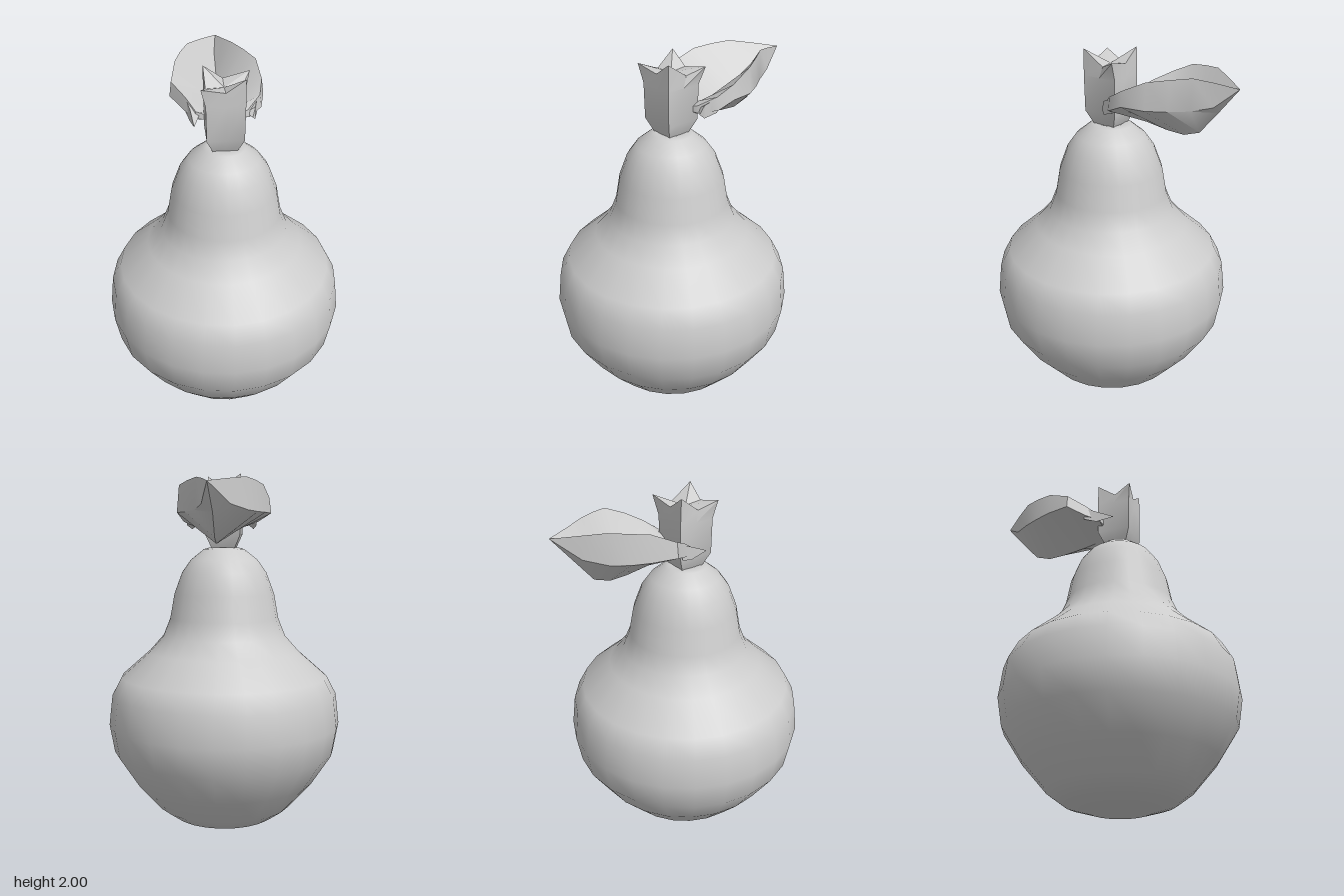
import * as THREE from 'three';
import { toCreasedNormals } from 'three/addons/utils/BufferGeometryUtils.js';

// Closed skin over rings of [x, y, z] points, with a fan at both ends
function loft(rings, startCentre, endCentre, crease) {
  const n = rings[0].length, last = (rings.length - 1) * n;
  const pos = rings.flat(2), index = [];
  pos.push(...startCentre, ...endCentre);
  const s = rings.length * n, e = s + 1;
  for (let j = 0; j < n; j++) {
    const k = (j + 1) % n;
    for (let i = 0; i < last; i += n) {
      index.push(i + j, i + k, i + n + k, i + j, i + n + k, i + n + j);
    }
    index.push(s, k, j, e, last + j, last + k);
  }
  const g = new THREE.BufferGeometry();
  g.setAttribute('position', new THREE.Float32BufferAttribute(pos, 3));
  g.setIndex(index);
  return toCreasedNormals(g, crease);
}

export function createModel() {
  const model = new THREE.Group();
  const grey = new THREE.MeshStandardMaterial({ color: 0xcccccc, side: THREE.DoubleSide });
  grey.name = 'light grey';
  const add = (name, geometry) => {
    const mesh = new THREE.Mesh(geometry, grey);
    mesh.name = name;
    model.add(mesh);
    return mesh;
  };

  // Fruit: round belly, waist and domed neck with a small dimple
  const profile = [
    [0, 0], [0.16, 0.008], [0.3, 0.05], [0.39, 0.115], [0.525, 0.27], [0.635, 0.44],
    [0.663, 0.6], [0.643, 0.77], [0.59, 0.87], [0.43, 1.01], [0.35, 1.1], [0.31, 1.2],
    [0.285, 1.34], [0.24, 1.46], [0.19, 1.53], [0.115, 1.59], [0.08, 1.6], [0, 1.585],
  ].map(([r, y]) => new THREE.Vector2(r, y));
  add('fruitBody', new THREE.LatheGeometry(profile, 24)).position.z = 0.05;

  // Stem: square post narrowing at the foot, with four pointed corners on top
  const square = (h, y) => [[1, 0], [1, -1], [0, -1], [-1, -1], [-1, 0], [-1, 1], [0, 1], [1, 1]]
    .map(([x, z]) => [x * h, y, 0.05 + z * h]);
  const crown = [
    [0.095, 1.92, 0.03], [0.14, 1.96, -0.06], [0, 1.93, -0.045], [-0.1, 2, -0.045],
    [-0.095, 1.92, 0.06], [-0.125, 1.96, 0.165], [0, 1.93, 0.145], [0.1, 2, 0.15],
  ];
  add('stem', loft([square(0.06, 1.585), square(0.097, 1.67), square(0.1, 1.86), crown],
    [0, 1.585, 0.05], [0, 1.92, 0.05], 0.4));

  // Leaf: boat-shaped sections from the stem to the tip
  // [z, keel y, left x, right x, side y, rim y, trough y, rim inset]
  const sections = [
    [-0.02, 1.7, -0.15, 0.14, 1.72, 1.76, 1.73, 0.01],
    [-0.09, 1.665, -0.2, 0.21, 1.74, 1.81, 1.71, 0.01],
    [-0.18, 1.645, -0.27, 0.23, 1.78, 1.86, 1.71, 0.01],
    [-0.31, 1.625, -0.245, 0.215, 1.78, 1.92, 1.72, 0.012],
    [-0.41, 1.62, -0.21, 0.16, 1.78, 1.935, 1.74, 0.012],
    [-0.5, 1.65, -0.165, 0.1, 1.785, 1.945, 1.79, 0.01],
    [-0.6, 1.77, -0.085, 0.055, 1.81, 1.93, 1.85, 0.005],
  ];
  const rings = sections.map(([z, keel, l, r, side, rim, trough, inset]) => [
    [0, keel, z], [l, side, z], [l + inset, rim, z],
    [0, trough, z], [r - inset, rim, z], [r, side, z],
  ]);
  add('leaf', loft(rings, [0, 1.715, 0], [0.015, 1.91, -0.715], 0.7));

  // Small pointed lobes where the leaf clasps the stem
  const lobe = (name, side, reach) => {
    const w = (x, y, z) => [side * x, y, z];
    const ring = [w(0.19, 1.72, -0.1), w(0.19, 1.8, -0.1), w(0.12, 1.76, -0.08)];
    const mid = [w(0.17, 1.7, -0.03), w(0.17, 1.77, -0.03), w(0.12, 1.74, -0.03)];
    const order = side > 0 ? [0, 1, 2] : [0, 2, 1];
    const pick = (p) => order.map((i) => p[i]);
    add(name, loft([pick(ring), pick(mid)], w(0.16, 1.75, -0.1), w(0.155, 1.72, reach), 0.3));
  };
  lobe('leftLobe', 1, -0.01);
  lobe('rightLobe', -1, 0.075);

  return model;
}
